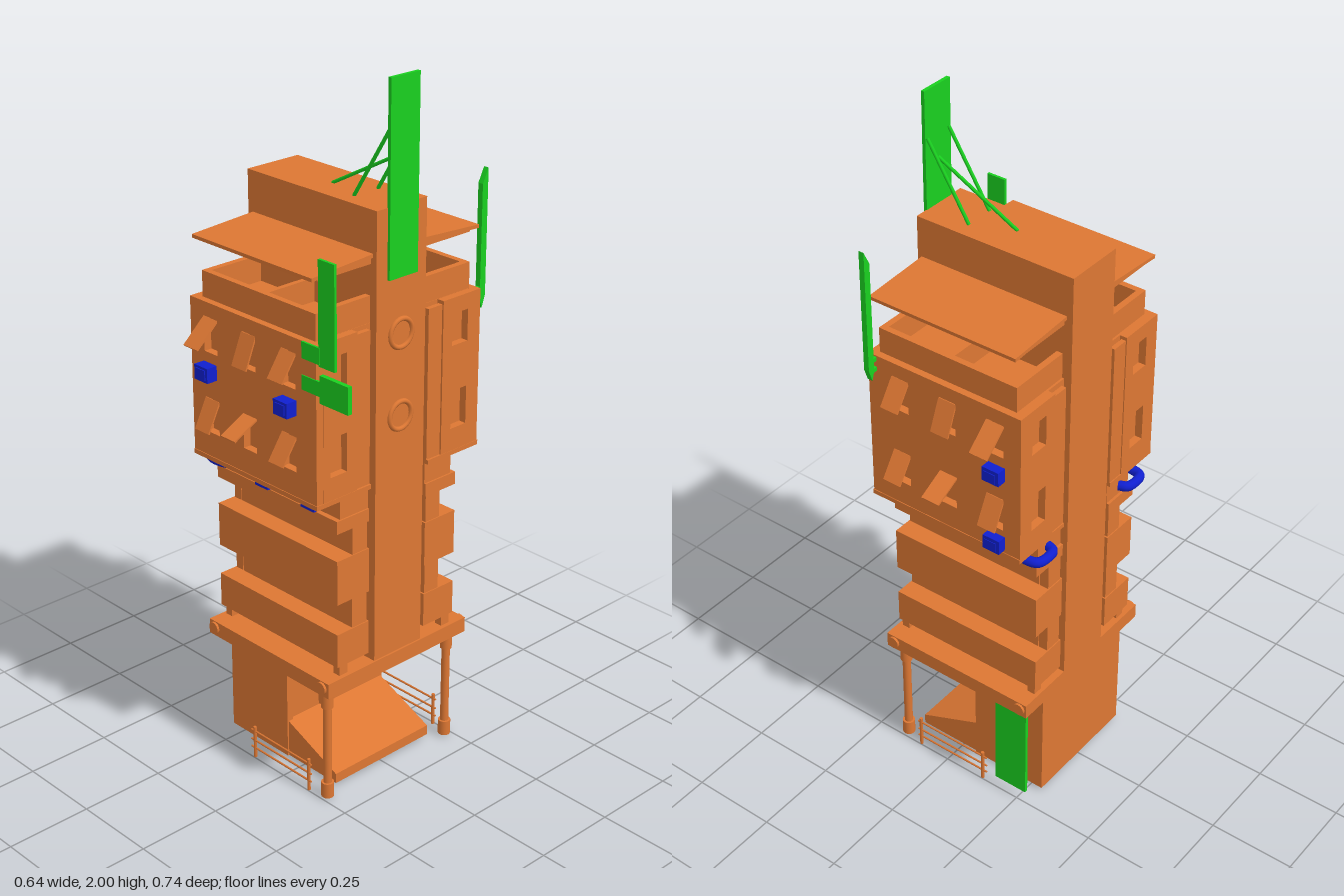
import * as THREE from 'three';

const orange = new THREE.MeshStandardMaterial({ color: 0xdd7733 });
const green = new THREE.MeshStandardMaterial({ color: 0x1ad020 });
const blue = new THREE.MeshStandardMaterial({ color: 0x1020d0 });

export function createModel() {
  const model = new THREE.Group();
  model.name = 'tower';

  const add = (name, geo, mat = orange) => {
    const m = new THREE.Mesh(geo, mat);
    m.name = name;
    model.add(m);
    return m;
  };
  // Box from its limits; z limits may come in either order
  const box = (name, x0, x1, y0, y1, z0, z1, mat) => {
    const g = new THREE.BoxGeometry(x1 - x0, y1 - y0, Math.abs(z1 - z0));
    g.translate((x0 + x1) / 2, (y0 + y1) / 2, (z0 + z1) / 2);
    return add(name, g, mat);
  };
  const outline = (P, pts) => new P(pts.map(p => new THREE.Vector2(...p)));
  const rect = (x0, x1, y0, y1) => [[x0, y0], [x1, y0], [x1, y1], [x0, y1]];
  // Flat panel with rectangular openings, centred on its thickness
  const panel = (outer, holes, depth) => {
    const s = outline(THREE.Shape, outer);
    holes.forEach(h => s.holes.push(outline(THREE.Path, h.slice().reverse())));
    return new THREE.ExtrudeGeometry(s, { depth, bevelEnabled: false }).translate(0, 0, -depth / 2);
  };
  // Square or round bar between two points
  const bar = (name, a, b, r, mat, sides = 6) => {
    const p = new THREE.Vector3(...a), q = new THREE.Vector3(...b);
    const m = add(name, new THREE.CylinderGeometry(r, r, p.distanceTo(q), sides), mat);
    m.position.copy(p).add(q).multiplyScalar(0.5);
    m.quaternion.setFromUnitVectors(new THREE.Vector3(0, 1, 0), q.sub(p).normalize());
    return m;
  };

  // Central core, deck and ground floor
  box('core', -0.29, 0.195, 0.345, 1.67, -0.088, 0.088);
  box('deck', -0.29, 0.2, 0.345, 0.39, -0.263, 0.263);
  box('groundFloor', -0.29, -0.065, 0.01, 0.345, -0.185, 0.185);
  // Shop front with door and window openings (local x is -z)
  add('shopFront', panel(rect(-0.185, 0.185, 0.01, 0.345),
    [rect(-0.165, -0.055, 0.1, 0.26), rect(-0.025, 0.155, 0.175, 0.26)], 0.012).rotateY(Math.PI / 2))
    .position.x = -0.06;
  add('ramp', panel([[-0.06, 0.01], [0.14, 0.01], [0.14, 0.04], [-0.06, 0.125]], [], 0.36));
  const awning = box('awning', -0.003, 0.003, -0.028, 0.028, -0.17, 0.17, green);
  awning.position.set(-0.042, 0.315, 0);
  awning.rotation.z = -0.55;
  box('doorSign', -0.28, -0.175, 0.04, 0.34, -0.24, -0.25, green);
  box('doorSignBracket', -0.24, -0.22, 0.25, 0.27, -0.18, -0.242, green);

  // Portholes
  for (const y of [1.095, 1.325]) {
    const ring = add('portholeRing', new THREE.TorusGeometry(0.039, 0.007, 8, 28).rotateY(Math.PI / 2));
    ring.position.set(0.196, y, 0);
  }

  // Shutters: column x, hinge y, outward reach, drop
  const shutters = [
    [-0.21, 1.33, 0.07, 0.063], [-0.06, 1.33, 0.035, 0.085], [0.092, 1.33, 0.048, 0.07],
    [-0.21, 1.1, 0.04, 0.08], [-0.06, 1.1, 0.078, 0.04], [0.092, 1.1, 0.048, 0.07],
  ];

  for (const s of [1, -1]) {
    // Columns, rails and deck lugs
    const cx = 0.16, cz = s * 0.23;
    bar('column', [cx, 0.01, cz], [cx, 0.345, cz], 0.012, orange, 16);
    bar('columnFoot', [cx, 0.005, cz], [cx, 0.05, cz], 0.018, orange, 16);
    bar('columnCap', [cx, 0.29, cz], [cx, 0.345, cz], 0.017, orange, 16);
    for (const x of [-0.125, 0.1]) bar('railPost', [x, 0, s * 0.245], [x, 0.1, s * 0.245], 0.005);
    for (const y of [0.03, 0.055, 0.085]) bar('rail', [-0.14, y, s * 0.245], [0.11, y, s * 0.245], 0.003);
    for (const x of [-0.267, 0.175]) {
      bar('deckLug', [x, 0.37, s * 0.25], [x, 0.37, s * 0.27], 0.018, orange, 16);
      box('moduleFoot', x - 0.012, x + 0.012, 0.39, 0.425, s * 0.18, s * 0.21);
    }

    // Stacked lower module: narrow body with wide bands
    box('lowerBody', -0.255, 0.16, 0.42, 0.86, s * 0.08, s * 0.163);
    for (const [y0, y1] of [[0.42, 0.52], [0.61, 0.74], [0.82, 0.857]])
      box('lowerBand', -0.288, 0.19, y0, y1, s * 0.105, s * 0.22);
    for (const [y0, y1] of [[0.52, 0.61], [0.74, 0.82]])
      for (const x of [-0.285, 0.16]) box('cornerPier', x, x + 0.027, y0, y1, s * 0.11, s * 0.163);
    box('moduleNeck', -0.28, 0.185, 0.857, 0.92, s * 0.105, s * 0.205);

    // Large upper module
    box('upperBody', -0.268, 0.173, 0.925, 1.37, s * 0.08, s * 0.272);
    box('upperSill', -0.29, 0.197, 0.917, 0.93, s * 0.105, s * 0.297);
    const front = add('windowWall', panel(rect(-0.29, 0.195, 0.925, 1.37),
      shutters.map(([x, y]) => rect(x - 0.026, x + 0.026, y - 0.1, y)), 0.024));
    front.position.z = s * 0.283;
    for (const x of [-0.279, 0.185]) {
      const z = [-s * 0.155, -s * 0.272].sort((a, b) => a - b);
      const w = [-s * 0.19, -s * 0.248].sort((a, b) => a - b);
      const side = add('sideWall', panel(rect(...z, 0.925, 1.37),
        [rect(...w, 0.995, 1.105), rect(...w, 1.235, 1.325)], 0.022).rotateY(Math.PI / 2));
      side.position.x = x;
      box('sideStrip', x - 0.008, x + 0.006, 0.925, 1.36, s * 0.105, s * 0.156);
    }
    for (const [x, y, reach, drop] of shutters) {
      const m = add('shutter', new THREE.BoxGeometry(0.055, Math.hypot(reach, drop), 0.005));
      m.position.set(x, y - drop / 2 - 0.003, s * (0.293 + reach / 2));
      m.rotation.x = -s * Math.atan2(reach, drop);
    }

    // Open balcony with a dividing wall
    box('balconyFront', -0.262, 0.172, 1.37, 1.443, s * 0.257, s * 0.275);
    for (const x of [-0.262, 0.154]) box('balconySide', x, x + 0.018, 1.37, 1.443, s * 0.08, s * 0.258);
    box('balconyDivider', -0.05, -0.035, 1.37, 1.435, s * 0.08, s * 0.258);

    // Canopy, sloping slightly outward
    const roof = add('canopy', new THREE.BoxGeometry(0.455, 0.01, 0.212));
    roof.position.set(-0.045, 1.545, s * 0.19);
    roof.rotation.x = s * 0.06;
    for (const x of [-0.265, 0.155]) box('canopyRib', x, x + 0.02, 1.528, 1.543, s * 0.08, s * 0.27);

    // Pipe round the lower corner
    const path = [[-0.28, 0.885, 0.16], [-0.302, 0.885, 0.17], [-0.308, 0.885, 0.2],
      [-0.3, 0.885, 0.232], [-0.27, 0.885, 0.24], [-0.215, 0.89, 0.235], [-0.188, 0.9, 0.23], [-0.18, 0.925, 0.225]];
    add('pipe', new THREE.TubeGeometry(new THREE.CatmullRomCurve3(
      path.map(([x, y, z]) => new THREE.Vector3(x, y, s * z))), 32, 0.014, 10), blue);
  }

  // Cooling units: x, y, inner z, outer z
  for (const [x, y, z0, z1] of [
    [-0.215, 1.18, 0.29, 0.328], [0.095, 1.18, 0.29, 0.328],
    [-0.07, 0.897, 0.2, 0.252], [0.11, 0.897, 0.2, 0.252],
    [-0.215, 1.18, -0.29, -0.322], [-0.215, 0.96, -0.29, -0.32],
    [-0.035, 0.897, -0.2, -0.252], [0.04, 0.897, -0.2, -0.252]]) {
    box('coolingUnit', x - 0.026, x + 0.026, y - 0.021, y + 0.021, z0, z1, blue);
    box('coolingGrille', x - 0.018, x + 0.018, y - 0.014, y + 0.014, z1 - 0.005, z1 + Math.sign(z1) * 0.003, blue);
  }

  // Tall roof board and its struts
  box('tallBoard', 0.193, 0.203, 1.48, 2, -0.05, 0.05, green);
  bar('boardStrut', [-0.05, 1.67, 0.008], [0.193, 1.8, 0], 0.005, green);
  for (const z of [-0.042, 0.042]) bar('boardStrut', [0.065, 1.67, z], [0.193, 1.87, z], 0.005, green);

  // Front hanging boards
  box('uprightBoard', 0.205, 0.263, 1.32, 1.6, 0.288, 0.296, green);
  box('uprightBoardArm', 0.145, 0.21, 1.325, 1.37, 0.292, 0.298, green);
  box('lowBoard', 0.215, 0.317, 1.225, 1.3, 0.289, 0.302, green);
  box('lowBoardArm', 0.145, 0.22, 1.24, 1.28, 0.292, 0.298, green);

  // Rear blade board with tapered ends (local x is -z)
  add('bladeBoard', panel([[0.308, 1.33], [0.316, 1.305], [0.328, 1.34], [0.328, 1.69], [0.308, 1.65]], [], 0.016)
    .rotateY(Math.PI / 2), green).position.x = 0.173;
  for (const y of [1.33, 1.36]) box('bladeBracket', 0.167, 0.179, y - 0.006, y + 0.006, -0.29, -0.312, green);

  return model;
}
